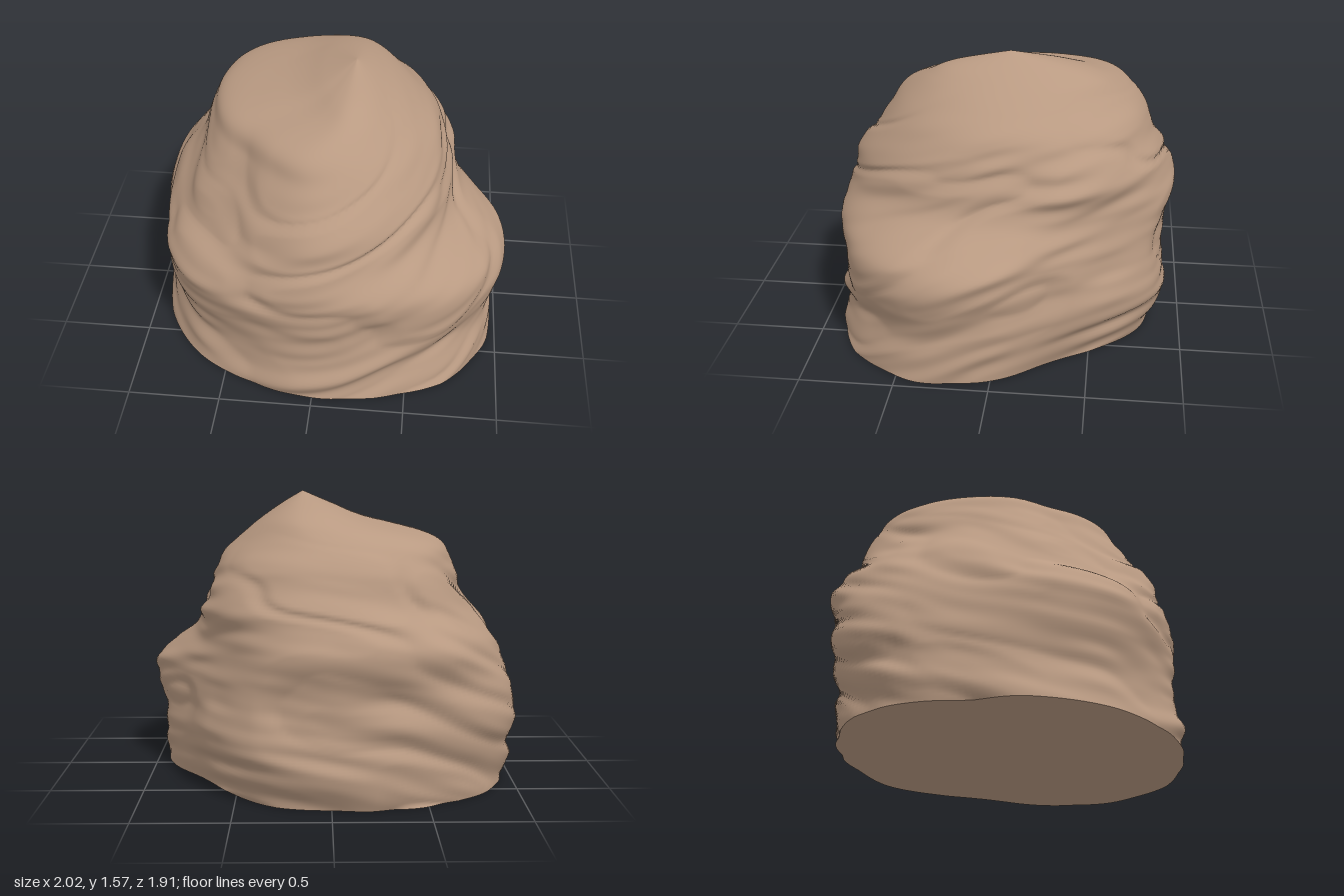
import * as THREE from 'three';

// Silhouette by level: height, min x, max x, min z, max z
const LEVELS = [
  [0, -0.97, 0.95, -0.85, 0.96],
  [0.2, -0.97, 0.95, -0.89, 0.92],
  [0.4, -1, 0.99, -0.91, 0.92],
  [0.62, -0.98, 0.97, -0.89, 0.95],
  [0.82, -0.88, 0.77, -0.94, 0.88],
  [1, -0.76, 0.71, -0.85, 0.82],
  [1.2, -0.66, 0.61, -0.77, 0.68],
  [1.33, -0.57, 0.49, -0.66, 0.58],
  [1.43, -0.2, 0.37, -0.52, 0.43],
  [1.5, -0.02, 0.27, -0.34, 0.28],
  [1.57, 0.15, 0.15, -0.03, -0.03],
];
// Plan shapes as radii from +x round through +z: cornered foot, wedge-fronted crown
const FOOT = [0.98, 1.06, 1.06, 1.02, 0.99, 0.96, 0.97, 0.95, 0.95, 1.08, 1.09, 1.03, 1, 0.99, 0.9, 0.87];
const CROWN = [1, 1, 1, 1, 0.98, 0.9, 0.85, 0.92, 0.98, 1.05, 1.1, 1.04, 1, 1, 1, 1];

const SIDES = 200, ROWS = 130;
const { lerp, smoothstep } = THREE.MathUtils;

// Catmull-Rom curve at u through the values at(i)
function along(at, u) {
  const i = Math.floor(u), t = u - i;
  const a = at(i - 1), b = at(i), c = at(i + 1), d = at(i + 2);
  return b + 0.5 * t * (c - a + t * (2 * a - 5 * b + 4 * c - d + t * (3 * (b - c) + d - a)));
}
const level = (i) => LEVELS[Math.min(Math.max(i, 0), LEVELS.length - 1)];

// Smooth seeded noise, -1 to 1
function hash(x, y, z) {
  let h = Math.imul(x, 374761393) ^ Math.imul(y, 668265263) ^ Math.imul(z, 2147477730);
  h = Math.imul(h ^ (h >>> 13), 1274126177);
  return ((h ^ (h >>> 16)) >>> 0) / 2147483648 - 1;
}
function noise(x, y, z) {
  const [i, j, k] = [x, y, z].map(Math.floor);
  const [u, v, w] = [x - i, y - j, z - k].map((t) => t * t * (3 - 2 * t));
  const edge = (b, c) => lerp(hash(i, j + b, k + c), hash(i + 1, j + b, k + c), u);
  return lerp(lerp(edge(0, 0), edge(1, 0), v), lerp(edge(0, 1), edge(1, 1), v), w);
}

// Tilted rock layers: thin across the bedding, long along it
function strata(x, y, z) {
  const s = y - 0.22 * x + 0.32 * z + 0.04 * noise(x * 2.5, y * 2, z * 2.5);
  const ledge = noise(x * 1.6 + 7, s * 7, z * 1.6 + 3);
  const fine = noise(x * 3 + 20, s * 15, z * 3 + 11);
  const groove = Math.max(0, 1 - 4 * Math.abs(noise(x * 1.5 + 31, s * 5, z * 1.5 + 17)));
  return 0.035 * ledge + 0.016 * fine - 0.022 * groove;
}

// Point on the rock at level u and an angle round the upright axis
function surfacePoint(u, angle) {
  const [y, x0, x1, z0, z1] = [0, 1, 2, 3, 4].map((n) => along((i) => level(i)[n], u));
  const plan = (list) => along((k) => list[(k + 16) % 16], (angle * 8) / Math.PI);
  const r = lerp(plan(FOOT), plan(CROWN), smoothstep(y, 0.6, 1));
  const c = Math.cos(angle), s = Math.sin(angle);
  const halfX = Math.max(0, x1 - x0) / 2, halfZ = Math.max(0, z1 - z0) / 2;
  const x = (x0 + x1) / 2 + halfX * r * c;
  const z = (z0 + z1) / 2 + halfZ * r * s;
  // the weathered crown is smoother than the layered flanks
  const rough = (1 - 0.85 * smoothstep(y, 1, 1.35)) * Math.min(1, halfX * 3);
  const push = strata(x, y, z) * rough;
  return [x + push * c, Math.max(0, y), z + push * s];
}

function ring(i) {
  const u = (i / ROWS) * (LEVELS.length - 1);
  return Array.from({ length: SIDES }, (_, j) => surfacePoint(u, (j / SIDES) * Math.PI * 2)).flat();
}

function surface(pos, idx) {
  const g = new THREE.BufferGeometry();
  g.setAttribute('position', new THREE.Float32BufferAttribute(pos, 3));
  g.setIndex(idx);
  g.computeVertexNormals();
  return g;
}

// Rock face: stacked rings closed by a single peak
function rockFace() {
  const pos = [], idx = [], peak = ROWS * SIDES;
  for (let i = 0; i < ROWS; i++) {
    pos.push(...ring(i));
    for (let j = 0; j < SIDES; j++) {
      const a = i * SIDES + j, b = i * SIDES + ((j + 1) % SIDES);
      if (i === ROWS - 1) idx.push(a, peak, b);
      else idx.push(a, a + SIDES, b, b, a + SIDES, b + SIDES);
    }
  }
  pos.push(...surfacePoint(LEVELS.length - 1, 0));
  return surface(pos, idx);
}

// Flat underside following the lowest ring
function underside() {
  const idx = [];
  for (let j = 0; j < SIDES; j++) idx.push(SIDES, j, (j + 1) % SIDES);
  return surface([...ring(0), 0, 0, 0], idx);
}

export function createModel() {
  const group = new THREE.Group();
  group.name = 'boulder';
  const stone = new THREE.MeshStandardMaterial({ color: 0xb99a82 });
  for (const [name, geometry] of [['rockFace', rockFace()], ['flatBase', underside()]]) {
    const mesh = new THREE.Mesh(geometry, stone);
    mesh.name = name;
    group.add(mesh);
  }
  return group;
}
